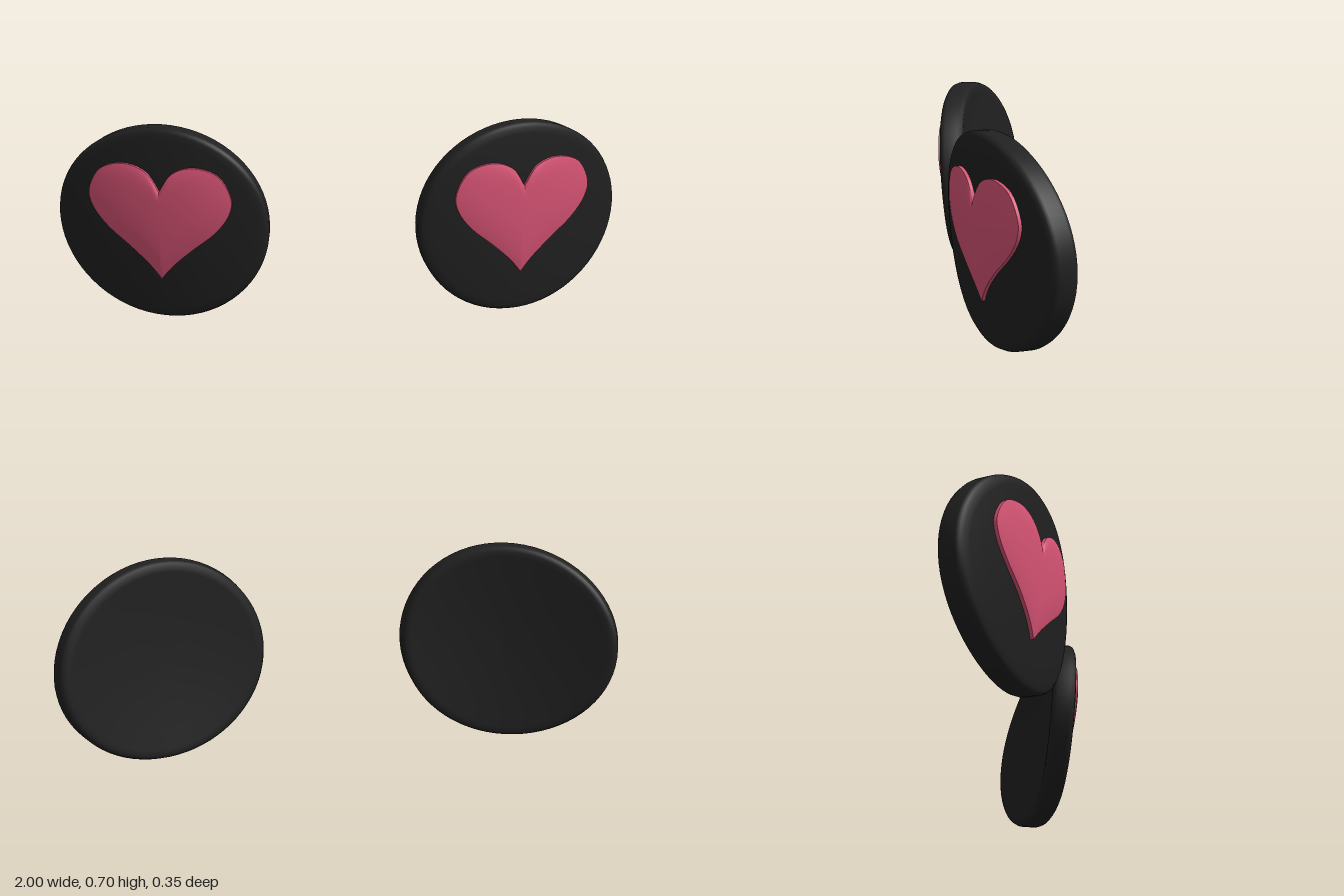
import * as THREE from 'three';
import { toCreasedNormals } from 'three/addons/utils/BufferGeometryUtils.js';

const CX = 0.633, CY = 0.35, RX = 0.375, RY = 0.35;

// Maps flat pad coordinates plus a depth behind the front face onto the curved, tilted pad
function bend(x, y, depth) {
  const u = x / RX, v = y / RY;
  const z = 0.103 - 0.1375 * u - 0.062 * u * u + 0.025 * v - 0.02 * v * v;
  const a = 0.22 + 0.16 * u;
  return [CX + x - depth * Math.sin(a), CY + y, z - depth * Math.cos(a)];
}

// Concentric rings: profile holds [scale, depth], outline runs counterclockwise around a centre
function ringGeometry(profile, outline, cy, side) {
  const n = outline.length, pos = [], index = [];
  for (const [s, depth] of profile) {
    for (const p of outline) {
      const [x, y, z] = bend(p.x * s, cy + (p.y - cy) * s, depth);
      pos.push(x * side, y, z);
    }
  }
  const tri = (a, b, c) => (side > 0 ? index.push(a, b, c) : index.push(a, c, b));
  for (let i = 0; i < profile.length - 1; i++) {
    for (let j = 0; j < n; j++) {
      const k = (j + 1) % n;
      const a = i * n + j, b = i * n + k, c = (i + 1) * n + j, d = (i + 1) * n + k;
      if (profile[i + 1][0] > 0) tri(a, c, d);
      if (profile[i][0] > 0) tri(a, d, b);
    }
  }
  const geo = new THREE.BufferGeometry();
  geo.setAttribute('position', new THREE.Float32BufferAttribute(pos, 3));
  geo.setIndex(index);
  geo.computeVertexNormals();
  return geo;
}

function ellipseOutline() {
  const pts = [];
  for (let i = 0; i < 72; i++) {
    const t = (i / 72) * Math.PI * 2;
    pts.push(new THREE.Vector2(RX * Math.cos(t), RY * Math.sin(t)));
  }
  return pts;
}

// Right half of the heart from notch to tip, mirrored for the left half
function heartOutline() {
  const half = new THREE.SplineCurve([
    [0, 0.478], [0.045, 0.545], [0.122, 0.57], [0.205, 0.543], [0.247, 0.465],
    [0.235, 0.4], [0.185, 0.335], [0.11, 0.272], [0.042, 0.208], [0, 0.155],
  ].map(([x, y]) => new THREE.Vector2(x, y - CY))).getPoints(45);
  const left = half.map((p) => new THREE.Vector2(-p.x, p.y));
  return [...left, ...half.slice(1, -1).reverse()];
}

export function createModel() {
  const black = new THREE.MeshStandardMaterial({ color: 0x212121 });
  black.name = 'black';
  const pink = new THREE.MeshStandardMaterial({ color: 0xdb5577 });
  pink.name = 'pink';

  const padProfile = [
    [0, 0], [0.25, 0], [0.5, 0], [0.75, 0], [0.9, 0], [0.955, 0.001], [0.985, 0.006], [1, 0.018],
    [1, 0.066], [0.985, 0.08], [0.95, 0.087], [0.9, 0.088], [0.75, 0.088], [0.5, 0.088], [0.25, 0.088], [0, 0.088],
  ];
  // Slightly puffed face with a short wall sunk into the pad
  const heartProfile = [0, 0.2, 0.4, 0.6, 0.75, 0.87, 0.95, 1].map((s) => [s, -0.011 - 0.009 * (1 - s ** 4)]);
  heartProfile.push([1, 0.01]);

  const model = new THREE.Group();
  model.name = 'heartPads';
  for (const side of [1, -1]) {
    const group = new THREE.Group();
    group.name = side > 0 ? 'leftPad' : 'rightPad';
    const disc = new THREE.Mesh(ringGeometry(padProfile, ellipseOutline(), 0, side), black);
    disc.name = 'disc';
    const heart = new THREE.Mesh(
      toCreasedNormals(ringGeometry(heartProfile, heartOutline(), 0.07, side), 0.7), pink);
    heart.name = 'heart';
    group.add(disc, heart);
    model.add(group);
  }
  return model;
}
